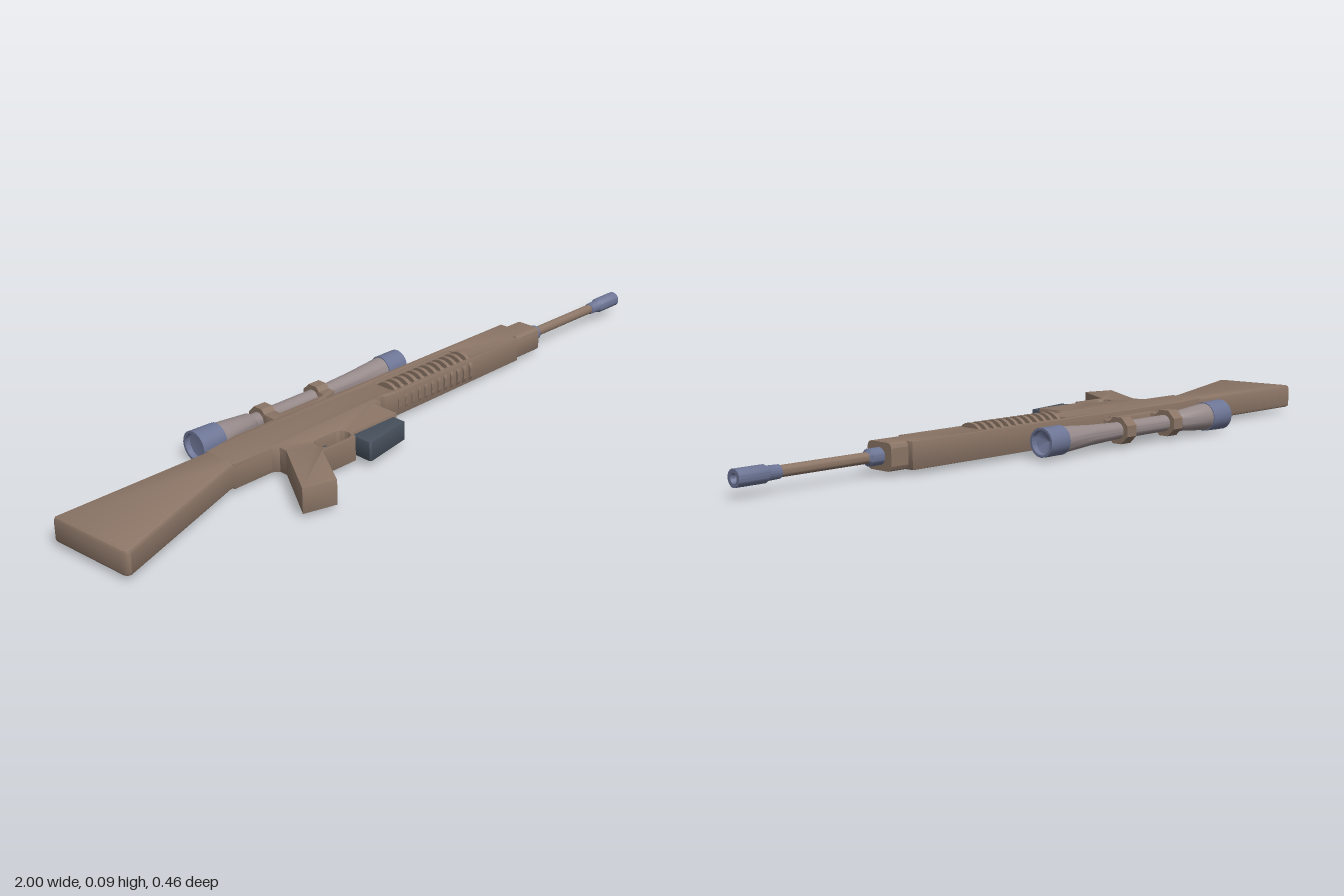
import * as THREE from 'three';
import { toCreasedNormals } from 'three/addons/utils/BufferGeometryUtils.js';

const paint = (color) => new THREE.MeshStandardMaterial({ color, side: THREE.DoubleSide });
const BROWN = paint(0x8b7566), BLUE = paint(0x6d7595), GREY = paint(0x96898a), DARK = paint(0x47505c);

export function createModel() {
  const model = new THREE.Group();
  // Built upright in (length, height, thickness), then laid on its side.
  const rifle = new THREE.Group();
  rifle.name = 'rifle';
  rifle.rotation.x = -Math.PI / 2;
  rifle.position.y = 0.0465;
  model.add(rifle);

  function add(name, geometry, material) {
    const mesh = new THREE.Mesh(geometry, material);
    mesh.name = name;
    rifle.add(mesh);
    return mesh;
  }
  const outline = (pts) => new THREE.Shape(pts.map(([x, y]) => new THREE.Vector2(x, y)));

  // Flat plate centred on the rifle's mid plane, with edges softened inside the outline
  function plate(name, shape, width, material, bevel = 0.003) {
    const g = new THREE.ExtrudeGeometry(shape, {
      depth: width - 2 * bevel, bevelEnabled: bevel > 0, bevelSize: bevel, bevelThickness: bevel,
      bevelOffset: -bevel, bevelSegments: 2, curveSegments: 8,
    });
    g.translate(0, 0, -width / 2 + bevel);
    return add(name, toCreasedNormals(g, 0.6), material);
  }

  // Round part along the length; profile is [x, radius]
  function turned(name, profile, height, material, sides = 20) {
    const g = new THREE.LatheGeometry(profile.map(([x, r]) => new THREE.Vector2(r, x)), sides);
    g.rotateZ(-Math.PI / 2);
    g.translate(0, height, 0);
    return add(name, toCreasedNormals(g, 0.6), material);
  }

  function box(name, x0, x1, y0, y1, width, material) {
    const g = new THREE.BoxGeometry(x1 - x0, y1 - y0, width);
    g.translate((x0 + x1) / 2, (y0 + y1) / 2, 0);
    return add(name, g, material);
  }

  function roundedRect(Type, x0, x1, y0, y1, r) {
    const s = new Type();
    s.moveTo(x0 + r, y0);
    s.lineTo(x1 - r, y0); s.absarc(x1 - r, y0 + r, r, -Math.PI / 2, 0);
    s.lineTo(x1, y1 - r); s.absarc(x1 - r, y1 - r, r, 0, Math.PI / 2);
    s.lineTo(x0 + r, y1); s.absarc(x0 + r, y1 - r, r, Math.PI / 2, Math.PI);
    s.lineTo(x0, y0 + r); s.absarc(x0 + r, y0 + r, r, Math.PI, Math.PI * 1.5);
    return s;
  }

  // Shoulder stock
  plate('stock', outline([
    [-1, 0.095], [-0.995, 0.1], [-0.55, 0.1], [-0.46, 0.113], [-0.44, 0.113], [-0.44, 0], [-0.57, 0],
    [-0.97, -0.143], [-0.98, -0.14], [-0.985, -0.13],
  ]), 0.066, BROWN, 0.009);

  // Receiver, grip, trigger guard and handguard in one outline
  const body = outline([
    [-0.56, 0.1], [-0.55, 0.1], [-0.46, 0.115], [0.543, 0.115], [0.543, 0.03], [0.495, 0.03], [0.495, 0.013],
    [0, 0.005], [-0.035, 0.008], [-0.045, 0.02], [-0.068, 0.02], [-0.068, 0], [-0.09, 0], [-0.09, -0.08],
    [-0.245, -0.08], [-0.255, -0.1], [-0.365, -0.1], [-0.443, -0.23], [-0.53, -0.205], [-0.425, -0.035],
    [-0.425, -0.012], [-0.44, 0], [-0.56, 0],
  ]);
  body.holes.push(
    roundedRect(THREE.Path, -0.355, -0.252, -0.092, -0.045, 0.023),
    roundedRect(THREE.Path, 0, 0.298, 0.022, 0.1, 0.012),
  );
  plate('receiver', body, 0.067, BROWN, 0.0015);
  plate('trigger', outline([
    [-0.325, -0.04], [-0.3, -0.04], [-0.308, -0.06], [-0.302, -0.082], [-0.315, -0.085], [-0.322, -0.062],
  ]), 0.014, DARK, 0.001);

  // Recessed handguard core with cooling ribs showing through on both sides
  box('handguardCore', -0.01, 0.31, 0.016, 0.106, 0.058, BROWN);
  for (let i = 0; i < 12; i++) {
    const x = 0.004 + i * 0.0255;
    turned('coolingRib', [[x, 0], [x, 0.0455], [x + 0.011, 0.0455], [x + 0.011, 0]], 0.0475, BROWN, 32);
  }

  // Front cap, rounded across its section
  const cap = new THREE.ExtrudeGeometry(
    roundedRect(THREE.Shape, -0.0335, 0.0335, 0.018, 0.1, 0.013), { depth: 0.095, bevelEnabled: false });
  cap.rotateY(Math.PI / 2);
  cap.translate(0.5, 0, 0);
  add('frontCap', toCreasedNormals(cap, 0.6), BROWN);

  // Barrel and muzzle
  const bore = 0.058;
  turned('barrelNut', [[0.59, 0], [0.59, 0.021], [0.628, 0.021], [0.635, 0.013]], bore, BLUE);
  turned('barrel', [[0.59, 0.0135], [0.9, 0.0135]], bore, BROWN);
  turned('muzzle', [[0.88, 0.013], [0.882, 0.016], [0.915, 0.017], [0.922, 0.021], [1, 0.021],
    [1, 0.012], [0.96, 0]], bore, BLUE);

  // Magazine
  plate('magazine', outline([[-0.245, -0.07], [-0.1, -0.07], [-0.1, -0.117], [-0.24, -0.142], [-0.246, -0.138]]),
    0.052, DARK, 0.002);

  // Telescopic sight
  const sight = 0.193;
  turned('eyepiece', [[-0.505, 0], [-0.51, 0.033], [-0.525, 0.034], [-0.525, 0.041], [-0.45, 0.039],
    [-0.45, 0.036]], sight, BLUE);
  turned('sightTube', [[-0.452, 0.037], [-0.345, 0.028], [-0.335, 0.022], [-0.08, 0.022], [0.02, 0.026],
    [0.13, 0.034]], sight, GREY);
  turned('objectiveBell', [[0.128, 0.034], [0.128, 0.037], [0.195, 0.037], [0.195, 0.031], [0.18, 0.03],
    [0.165, 0]], sight, BLUE);

  // Sight mount: two clamps and a bridge base
  for (const x of [-0.315, -0.125]) {
    turned('sightClamp', [[x, 0.02], [x, 0.037], [x + 0.036, 0.037], [x + 0.036, 0.02]], sight, BROWN, 8)
      .geometry.translate(0, -sight, 0).rotateX(Math.PI / 8).translate(0, sight, 0);
  }
  plate('sightMount', outline([
    [-0.315, 0.11], [-0.155, 0.11], [-0.13, 0.135], [-0.09, 0.146], [-0.09, 0.175], [-0.125, 0.175],
    [-0.125, 0.153], [-0.135, 0.148], [-0.279, 0.148], [-0.279, 0.175], [-0.315, 0.175],
  ]), 0.046, BROWN, 0.001);

  return model;
}
